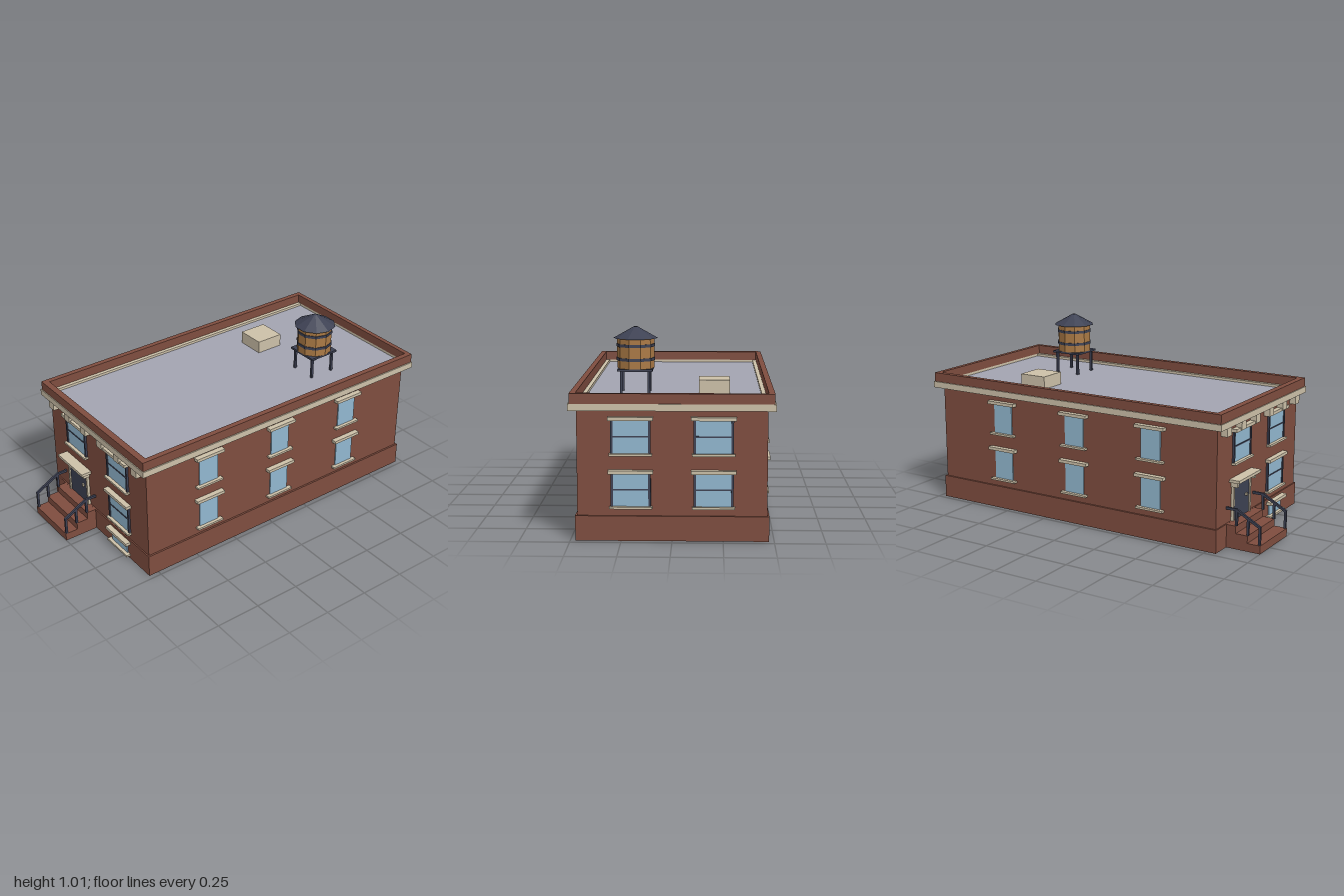
import * as THREE from 'three';

const material = (name, color) => {
  const m = new THREE.MeshStandardMaterial({ color });
  m.name = name;
  return m;
};

export function createModel() {
  const brick = material('brick', 0x7f4d3f);
  const trim = material('stone trim', 0xcdc1a9);
  const glass = material('glass', 0x92b8d0);
  const iron = material('dark iron', 0x3d4153);
  const wood = material('barrel wood', 0xab7a45);
  const roofing = material('roofing', 0xa3a4b1);

  const model = new THREE.Group();
  model.name = 'brickBuilding';

  const group = (name, parent = model) => {
    const g = new THREE.Group();
    g.name = name;
    parent.add(g);
    return g;
  };
  // Box given by its minimum and maximum on each axis
  const box = (name, mat, [x0, x1], [y0, y1], [z0, z1], parent = model) => {
    const m = new THREE.Mesh(new THREE.BoxGeometry(x1 - x0, y1 - y0, z1 - z0), mat);
    m.position.set((x0 + x1) / 2, (y0 + y1) / 2, (z0 + z1) / 2);
    m.name = name;
    parent.add(m);
    return m;
  };
  const around = (c, half) => [c - half, c + half];

  // Walls and base
  const FRONT = 0.8, BACK = -0.957, SIDE = 0.465;
  box('base', brick, [-0.475, 0.475], [0, 0.125], [-0.967, 0.807]);
  box('walls', brick, [-SIDE, SIDE], [0.125, 0.655], [BACK, FRONT]);
  box('roofDeck', roofing, [-SIDE, SIDE], [0.655, 0.67], [-0.971, FRONT]);

  // Cornice and parapet, each a ring of four bars
  const ring = (name, mat, outX, inX, y, z0, in0, in1, z1) => {
    const g = group(name);
    box(name + 'Front', mat, [-outX, outX], y, [in1, z1], g);
    box(name + 'Back', mat, [-outX, outX], y, [z0, in0], g);
    box(name + 'Left', mat, [inX, outX], y, [in0, in1], g);
    box(name + 'Right', mat, [-outX, -inX], y, [in0, in1], g);
  };
  ring('cornice', trim, 0.503, 0.445, [0.65, 0.684], -1.0, -0.971, 0.8, 0.84);
  ring('parapet', brick, 0.496, 0.466, [0.684, 0.734], -0.997, -0.971, 0.8, 0.835);

  for (let i = 0; i < 6; i++) {
    box('corniceBracket', trim, around(-0.404 + i * 0.1615, 0.0245), [0.604, 0.65], [0.795, 0.835]);
  }

  // Window facing +z with the wall at z = 0
  const addWindow = (parent, { half, height, lintel, sill, framed }) => {
    const w = group('window', parent);
    box('glass', glass, [-half, half], [0, height], [-0.01, 0.006], w);
    box('lintel', trim, [-lintel, lintel], [height, height + 0.017], [-0.01, 0.029], w);
    box('sill', trim, [-sill, sill], [-0.011, 0], [-0.01, 0.024], w);
    if (framed) {
      for (const s of [-1, 1]) box('jamb', iron, around(s * 0.092, 0.006), [0, height], [-0.01, 0.011], w);
      box('sashBar', iron, [-half, half], around(0.083, 0.0035), [-0.01, 0.009], w);
    }
    return w;
  };
  const large = { half: 0.087, height: 0.164, lintel: 0.11, sill: 0.105, framed: true };
  const narrow = { half: 0.059, height: 0.164, lintel: 0.088, sill: 0.081 };
  const floors = [0.173, 0.436];

  const frontWindows = group('frontWindows');
  for (const [x, y] of [[0.201, floors[0]], [0.201, floors[1]], [-0.203, floors[1]]]) {
    addWindow(frontWindows, large).position.set(x, y, FRONT);
  }
  addWindow(frontWindows, { half: 0.074, height: 0.064, lintel: 0.099, sill: 0.095 })
    .position.set(0.201, 0.031, 0.807);

  const backWindows = group('backWindows');
  const sideWindows = group('sideWindows');
  for (const y of floors) {
    for (const s of [-1, 1]) {
      const w = addWindow(backWindows, large);
      w.position.set(s * 0.202, y, BACK);
      w.rotation.y = Math.PI;
      for (const z of [0.415, -0.061, -0.537]) {
        const sw = addWindow(sideWindows, narrow);
        sw.position.set(s * SIDE, y, z);
        sw.rotation.y = s * Math.PI / 2;
      }
    }
  }

  // Entrance
  const doorX = -0.204;
  const entrance = group('entrance');
  box('door', iron, around(doorX, 0.087), [0.125, 0.324], [0.79, 0.808], entrance);
  box('doorHead', trim, around(doorX, 0.1), [0.324, 0.338], [0.79, 0.815], entrance);
  box('doorCanopy', trim, around(doorX, 0.125), [0.338, 0.354], [0.79, 0.858], entrance);
  for (const s of [-1, 1]) {
    box('doorJamb', trim, around(doorX + s * 0.093, 0.0065), [0.125, 0.324], [0.79, 0.815], entrance);
    box('canopyBracket', trim, around(doorX + s * 0.099, 0.008), [0.31, 0.338], [0.79, 0.838], entrance);
  }
  box('doorKnob', trim, around(-0.152, 0.007), around(0.23, 0.007), [0.8, 0.818], entrance);

  // Stoop: three steps extruded from their side profile
  const steps = [[0, 0], [0.2, 0], [0.2, 0.044], [0.127, 0.044], [0.127, 0.084],
    [0.06, 0.084], [0.06, 0.1245], [0, 0.1245]];
  const profile = new THREE.Shape(steps.map(([z, y]) => new THREE.Vector2(-z, y)));
  const stoop = new THREE.Mesh(
    new THREE.ExtrudeGeometry(profile, { depth: 0.318, bevelEnabled: false }), brick);
  stoop.rotation.y = Math.PI / 2;
  stoop.position.set(-0.363, 0, 0.8);
  stoop.name = 'stoop';
  model.add(stoop);

  // Handrails
  for (const x of [-0.354, -0.051]) {
    const rail = group('handrail');
    box('railPost', iron, around(x, 0.006), [0.044, 0.138], around(0.992, 0.006), rail);
    box('railPost', iron, around(x, 0.006), [0.084, 0.176], around(0.926, 0.006), rail);
    box('railPost', iron, around(x, 0.006), [0.1245, 0.212], around(0.86, 0.006), rail);
    box('topRail', iron, around(x, 0.006), [0.203, 0.216], [0.8, 0.864], rail);
    const rise = 0.072, run = 0.134;
    const slope = box('slopedRail', iron, around(x, 0.006), around(0.173, 0.0065),
      around(0.927, Math.hypot(rise, run) / 2 + 0.003), rail);
    slope.rotation.x = Math.atan2(rise, run);
  }

  // Roof hatch
  box('roofHatch', trim, [-0.285, -0.125], [0.67, 0.74], [-0.545, -0.386]);

  // Water tank: ten-sided barrel on a square stand
  const tank = group('waterTank');
  tank.position.set(0.201, 0, -0.517);
  const drum = (name, mat, rTop, rBottom, y0, y1) => {
    const geo = new THREE.CylinderGeometry(rTop, rBottom, y1 - y0, 10).toNonIndexed();
    geo.computeVertexNormals();
    const m = new THREE.Mesh(geo, mat);
    m.rotation.y = Math.PI / 10;
    m.position.y = (y0 + y1) / 2;
    m.name = name;
    tank.add(m);
  };
  for (const sx of [-1, 1]) for (const sz of [-1, 1]) {
    box('tankLeg', iron, around(sx * 0.071, 0.0065), [0.67, 0.79], around(sz * 0.071, 0.0065), tank);
  }
  box('tankPlatform', iron, [-0.09, 0.09], [0.789, 0.8], [-0.09, 0.09], tank);
  drum('barrel', wood, 0.096, 0.096, 0.8, 0.955);
  drum('lowerHoop', iron, 0.1, 0.1, 0.84, 0.855);
  drum('upperHoop', iron, 0.1, 0.1, 0.911, 0.926);
  drum('tankRoof', iron, 0.01, 0.115, 0.954, 1.013);

  return model;
}
